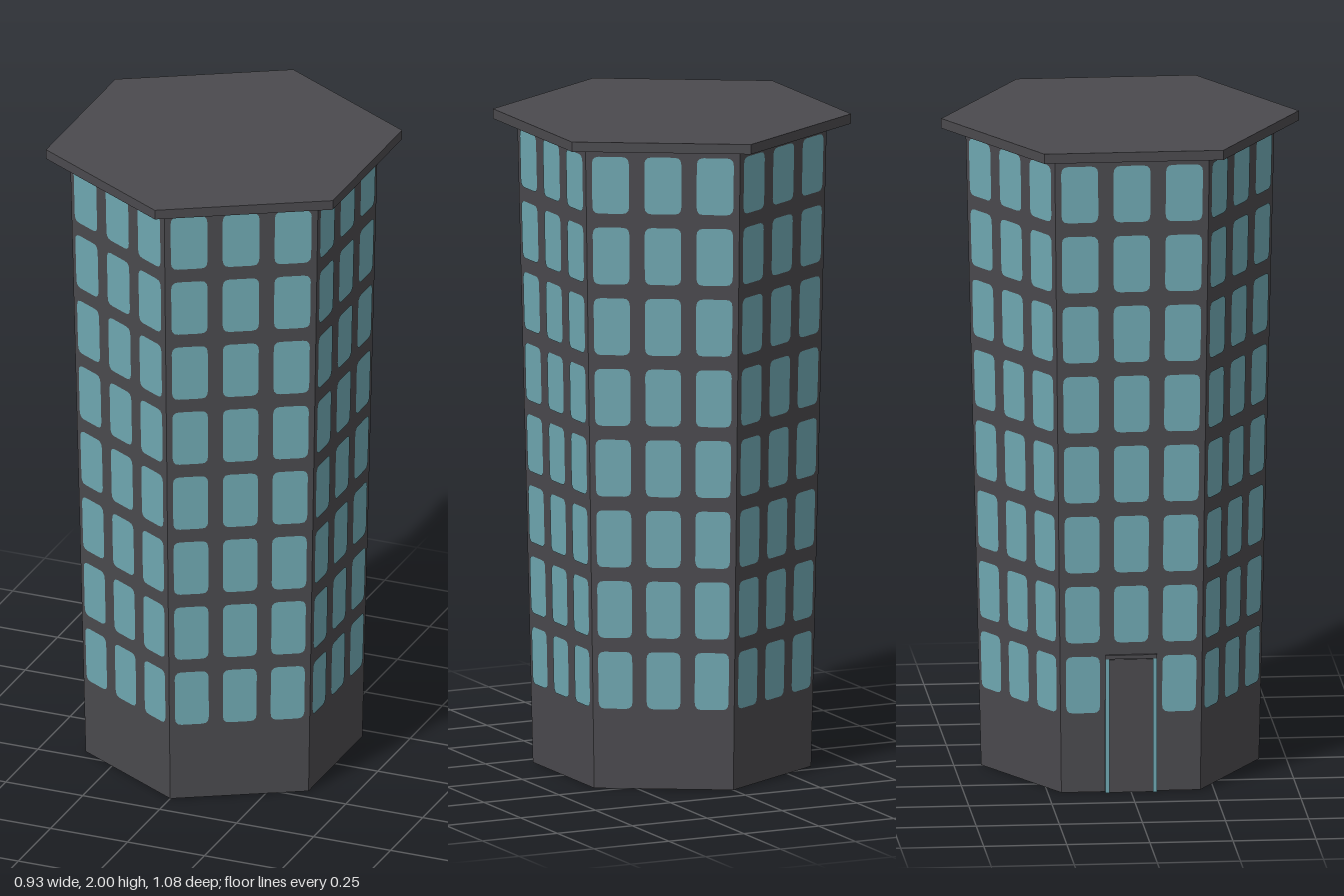
import * as THREE from 'three';
import { mergeGeometries } from 'three/addons/utils/BufferGeometryUtils.js';

const BODY_TOP = 1.97, R_BOTTOM = 0.418, R_TOP = 0.465;
const radiusAt = (y) => R_BOTTOM + (R_TOP - R_BOTTOM) * (y / BODY_TOP);

// Rounded pane centred on u (fraction of wall width) and y, wrapped onto one tapered wall
function windowPane(face, u, y) {
  const w = 0.12, h = 0.0875, rw = 0.045, rh = 0.022;
  const s = new THREE.Shape();
  s.moveTo(-w + rw, -h);
  s.lineTo(w - rw, -h);
  s.quadraticCurveTo(w, -h, w, -h + rh);
  s.lineTo(w, h - rh);
  s.quadraticCurveTo(w, h, w - rw, h);
  s.lineTo(-w + rw, h);
  s.quadraticCurveTo(-w, h, -w, h - rh);
  s.lineTo(-w, -h + rh);
  s.quadraticCurveTo(-w, -h, -w + rw, -h);
  const g = new THREE.ShapeGeometry(s, 3);
  const a = (face + 0.5) * Math.PI / 3;
  const nx = Math.sin(a), nz = Math.cos(a);
  const p = g.attributes.position;
  for (let i = 0; i < p.count; i++) {
    const py = y + p.getY(i), r = radiusAt(py);
    const out = r * Math.cos(Math.PI / 6) + 0.002;
    const along = (u + p.getX(i)) * r;
    p.setXYZ(i, nx * out + nz * along, py, nz * out - nx * along);
  }
  g.computeVertexNormals();
  return g;
}

export function createModel() {
  const wall = new THREE.MeshStandardMaterial({ color: 0x4b4a4e, flatShading: true });
  wall.name = 'charcoal wall';
  const glass = new THREE.MeshStandardMaterial({ color: 0x70a9b3 });
  glass.name = 'teal glass';

  const model = new THREE.Group();
  model.name = 'hexagonalTower';
  const add = (name, geometry, material, x = 0, y = 0, z = 0, parent = model) => {
    const mesh = new THREE.Mesh(geometry, material);
    mesh.name = name;
    mesh.position.set(x, y, z);
    parent.add(mesh);
    return mesh;
  };

  // Tapered body and overhanging roof slab
  add('body', new THREE.CylinderGeometry(R_TOP, R_BOTTOM, BODY_TOP, 6), wall, 0, BODY_TOP / 2);
  add('roof', new THREE.CylinderGeometry(0.538, 0.538, 0.03, 6), wall, 0, 1.985);

  // Eight rows of three windows on every wall, leaving out the one behind the door
  const doorFace = 4;
  for (let face = 0; face < 6; face++) {
    const panes = [];
    for (let row = 0; row < 8; row++) {
      for (let col = -1; col <= 1; col++) {
        if (face === doorFace && row === 0 && col === 0) continue;
        panes.push(windowPane(face, col * 0.34, 0.333 + row * 0.2175));
      }
    }
    add(`windows${face + 1}`, mergeGeometries(panes), glass);
  }

  // Doorway on the -x wall: dark door, lintel and two glazed jambs
  const door = new THREE.Group();
  door.name = 'doorway';
  model.add(door);
  add('door', new THREE.BoxGeometry(0.02, 0.41, 0.14), wall, -0.364, 0.205, 0, door);
  add('lintel', new THREE.BoxGeometry(0.02, 0.012, 0.155), wall, -0.37, 0.419, 0, door);
  for (const side of [-1, 1]) {
    add(side < 0 ? 'backJamb' : 'frontJamb', new THREE.BoxGeometry(0.02, 0.413, 0.012),
      glass, -0.37, 0.2065, side * 0.0715, door);
  }
  return model;
}
